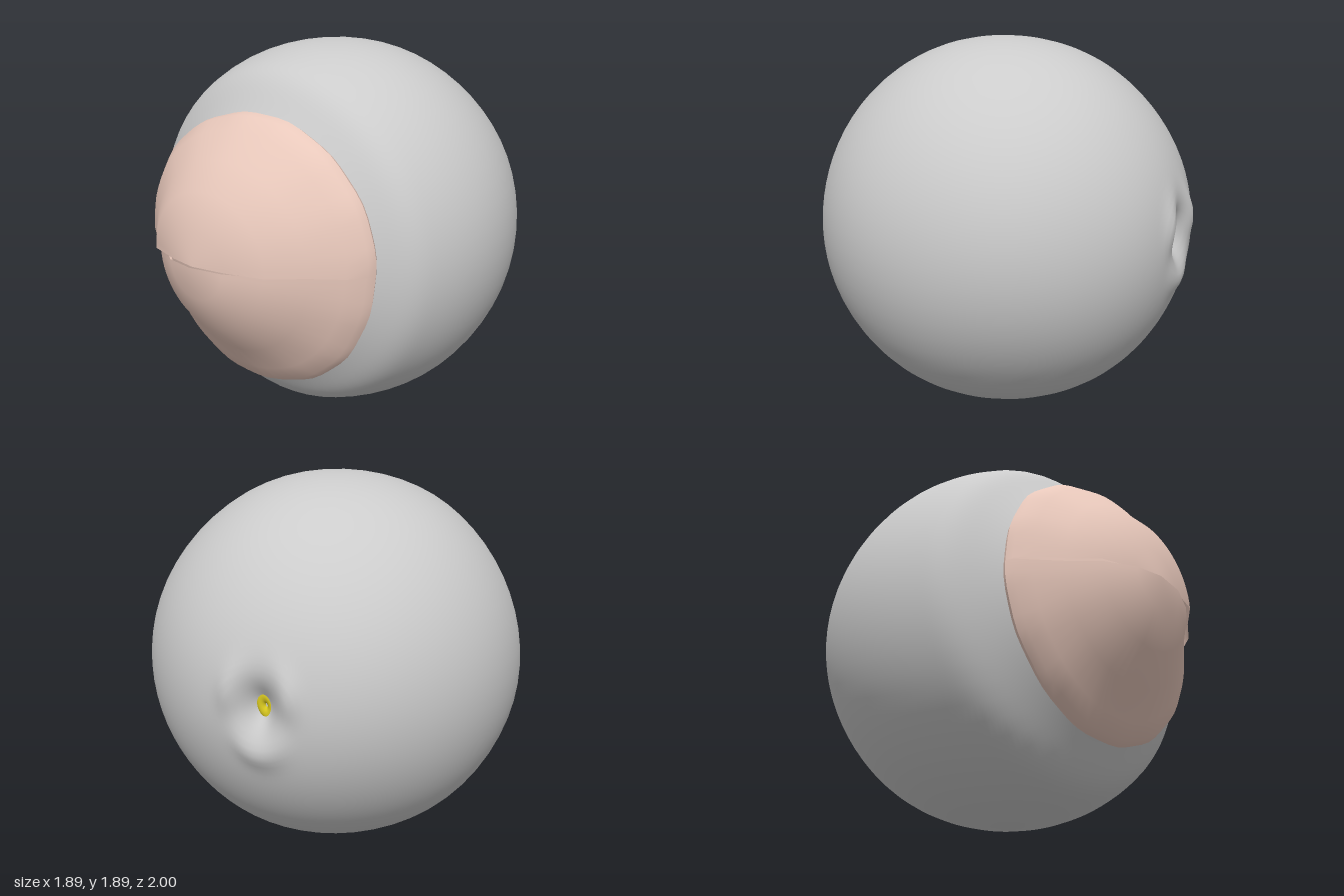
import * as THREE from 'three';
import { mergeVertices, toCreasedNormals } from 'three/addons/utils/BufferGeometryUtils.js';

const CENTRE_Y = 0.95;
const RIM = 0.67;

// Moves every vertex of a geometry by a rule
function warp(geometry, rule) {
  const pos = geometry.attributes.position;
  const v = new THREE.Vector3();
  for (let i = 0; i < pos.count; i++) {
    v.fromBufferAttribute(pos, i);
    rule(v);
    pos.setXYZ(i, v.x, v.y, v.z);
  }
  return geometry;
}

// Direction of the small sunken opening at the back
const socketDir = new THREE.Vector3(-0.37, 0.025, -0.92).normalize();

// Ball: pole turned to the opening so the rows are finest there
function ballGeometry() {
  let g = new THREE.SphereGeometry(1, 64, 96);
  g.deleteAttribute('uv');
  g.deleteAttribute('normal');
  g = mergeVertices(g, 1e-5);
  g.applyQuaternion(new THREE.Quaternion().setFromUnitVectors(new THREE.Vector3(0, 1, 0), socketDir));
  const across = new THREE.Vector3(0, 1, 0).cross(socketDir).normalize();
  const along = socketDir.clone().cross(across);
  warp(g, (v) => {
    // Puckered dent, taller than wide, with a faint raised lip
    let dent = 0;
    if (v.dot(socketDir) > 0) {
      const d = Math.hypot(v.dot(across) / 0.085, v.dot(along) / 0.12);
      const a = Math.atan2(v.dot(along), v.dot(across));
      dent = -0.1 * Math.exp(-d * d) + 0.012 * Math.exp(-((d - 1.9) ** 2) * 3) * (1 + Math.sin(3 * a));
    }
    // Gentle unevenness of the surface
    const wobble = 0.004 * Math.sin(5 * v.x + 2) * Math.sin(4 * v.y + 1) * Math.cos(5 * v.z);
    v.multiplyScalar(1 + dent + wobble);
    v.set(v.x * 0.945, v.y * 0.945 + CENTRE_Y, v.z * 0.97 - 0.03);
    // Flatter front beneath the lids
    v.z -= 0.13 * THREE.MathUtils.smoothstep(v.z, 0.35, 0.75);
  });
  g.computeVertexNormals();
  return g;
}

// Lid: half of a turned shell, from its inner face round the rim to the tip
function lidGeometry(outer, phiStart) {
  const inner = [[0, 0.94], [0.28, 0.87], [0.46, 0.74], [0.62, 0.59]];
  const profile = [...inner, [0.655, 0.575], [RIM, 0.6], ...outer].map(([r, z]) => new THREE.Vector2(r, z));
  const g = new THREE.LatheGeometry(profile, 32, phiStart, Math.PI);
  g.rotateX(Math.PI / 2);
  warp(g, (v) => {
    const t = Math.min(Math.hypot(v.x, v.y) / RIM, 1);
    const a = Math.atan2(v.y, v.x);
    // Slightly ragged rim
    const ragged = 1 + 0.008 * t ** 6 * Math.sin(11 * a) * Math.cos(5 * a);
    v.x = v.x * ragged + 0.045 * t;
    v.z -= 0.045 * v.x;
    v.y = v.y * ragged + CENTRE_Y + 0.028 * (1 - (v.y / RIM) ** 2) + 0.015 * v.x;
  });
  g.deleteAttribute('uv');
  return toCreasedNormals(g, 0.6);
}

export function createModel() {
  const model = new THREE.Group();
  model.name = 'lidded eyeball';
  const grey = new THREE.MeshStandardMaterial({ color: 0xcccccc });
  const skin = new THREE.MeshStandardMaterial({ color: 0xe8c8bb, side: THREE.DoubleSide });
  const yellow = new THREE.MeshStandardMaterial({ color: 0xd8c820 });

  const add = (name, geometry, material, parent = model) => {
    const mesh = new THREE.Mesh(geometry, material);
    mesh.name = name;
    parent.add(mesh);
    return mesh;
  };

  add('ball', ballGeometry(), grey);

  // Closed lids, meeting at a level seam
  const upper = [[0.66, 0.64], [0.6, 0.71], [0.47, 0.8], [0.34, 0.91], [0.16, 0.96], [0, 0.985]];
  const lower = [[0.65, 0.64], [0.58, 0.69], [0.46, 0.78], [0.32, 0.9], [0.16, 0.975], [0, 1]];
  add('upperLid', lidGeometry(upper, Math.PI / 2), skin);
  add('lowerLid', lidGeometry(lower, -Math.PI / 2), skin);

  // Yellow ring sunk in the back opening
  const socket = new THREE.Group();
  socket.name = 'backOpening';
  const centre = new THREE.Vector3(0, CENTRE_Y, -0.03);
  socket.position.copy(centre).addScaledVector(socketDir, 0.865);
  socket.lookAt(centre.clone().addScaledVector(socketDir, 2));
  const ring = add('yellowRing', new THREE.TorusGeometry(0.03, 0.026, 12, 24), yellow, socket);
  ring.scale.set(0.9, 1.45, 1);
  ring.rotation.z = 0.3;
  model.add(socket);

  return model;
}
